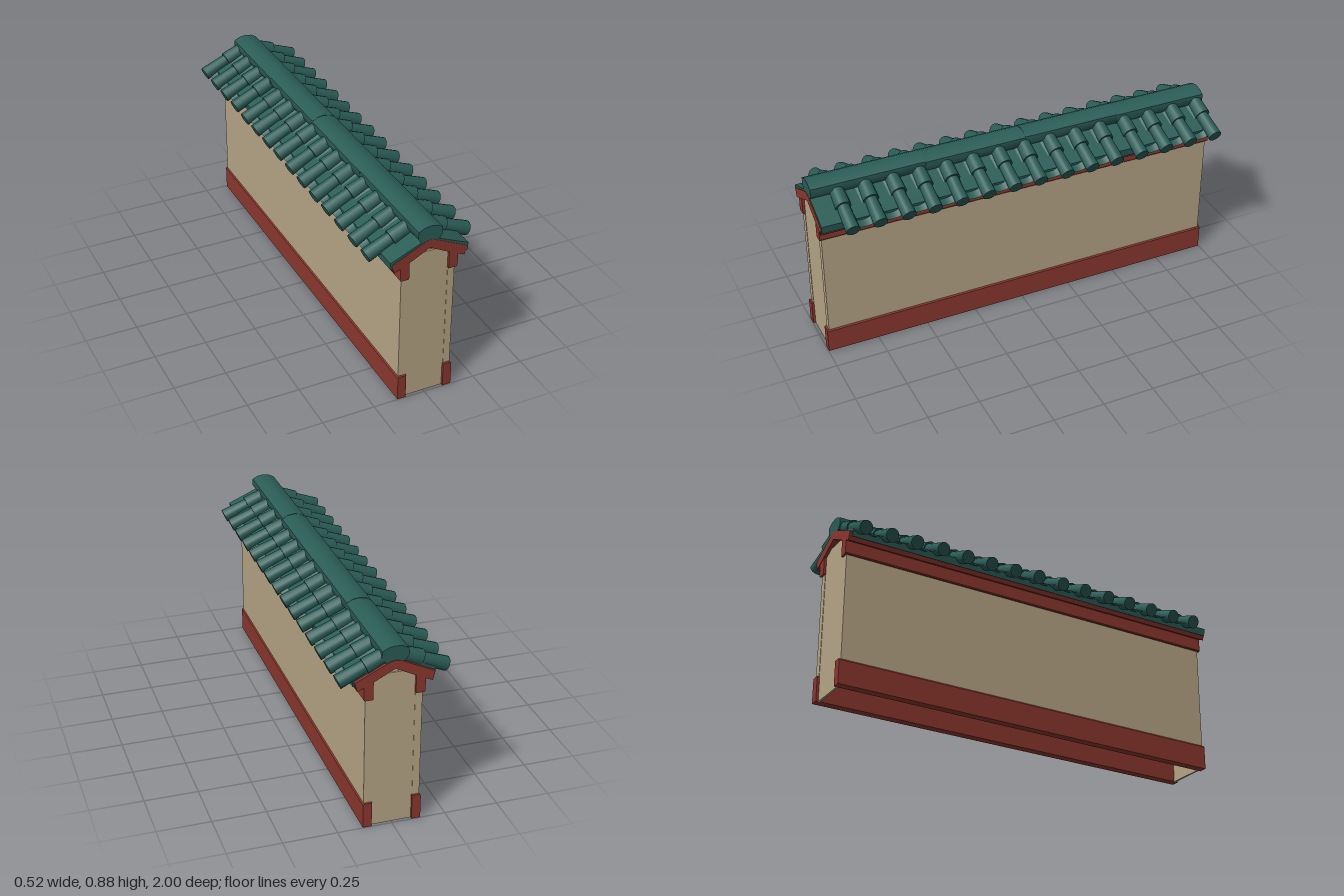
import * as THREE from 'three';
import { toCreasedNormals } from 'three/addons/utils/BufferGeometryUtils.js';

const plaster = new THREE.MeshStandardMaterial({ color: 0xb8a787, side: THREE.DoubleSide });
plaster.name = 'plaster';
const redTrim = new THREE.MeshStandardMaterial({ color: 0x8c382f });
redTrim.name = 'red trim';
const glaze = new THREE.MeshStandardMaterial({ color: 0x2b5d57, side: THREE.DoubleSide });
glaze.name = 'green glaze';

function add(parent, name, geometry, material) {
  const mesh = new THREE.Mesh(geometry, material);
  mesh.name = name;
  parent.add(mesh);
  return mesh;
}

// Cross-section in x/y swept along z
function sweep(points, z0, z1, crease = 0.3) {
  const shape = new THREE.Shape(points.map(([x, y]) => new THREE.Vector2(x, y)));
  const geo = new THREE.ExtrudeGeometry(shape, { depth: z1 - z0, bevelEnabled: false });
  geo.translate(0, 0, z0);
  return toCreasedNormals(geo, crease);
}

// Half profile, listed from the axis outwards and back, mirrored into a closed outline
const mirrored = (half) => [
  ...half,
  ...half.filter(([x]) => x > 0).reverse().map(([x, y]) => [-x, y]),
];
// Closed loop: outer edge to the right, underside back through the middle to the left
const chevron = (outer, under) => [
  ...outer, ...under,
  ...under.filter(([x]) => x > 0).reverse().map(([x, y]) => [-x, y]),
  ...outer.filter(([x]) => x > 0).reverse().map(([x, y]) => [-x, y]),
];

// Seeded jitter for hand-laid tiles
let seed = 7;
function jitter(amount) {
  seed = (seed * 16807) % 2147483647;
  return (seed / 2147483647 - 0.5) * 2 * amount;
}

// Aim a tile geometry (long axis y, outer side +z) down the roof slope
function layTile(parent, name, geometry, side, from, to, z, skew) {
  const a = new THREE.Vector3(side * from[0], from[1], z);
  const b = new THREE.Vector3(side * to[0], to[1], z + skew);
  const yAxis = b.clone().sub(a);
  const length = yAxis.length();
  yAxis.normalize();
  const zAxis = new THREE.Vector3(-side * (to[1] - from[1]), to[0] - from[0], 0).normalize();
  const xAxis = new THREE.Vector3().crossVectors(yAxis, zAxis);
  const tile = add(parent, name, geometry, glaze);
  tile.quaternion.setFromRotationMatrix(new THREE.Matrix4().makeBasis(xAxis, yAxis, zAxis));
  tile.position.copy(a).add(b).multiplyScalar(0.5);
  tile.scale.y = length;
}

export function createModel() {
  const model = new THREE.Group();
  model.name = 'tiledWall';

  // Hollow wall: two long sides with red bands at foot and head
  for (const side of [1, -1]) {
    const wall = add(model, 'wallSide', new THREE.BoxGeometry(0.033, 0.72, 1.976), plaster);
    wall.position.set(side * 0.1125, 0.361, 0);

    const base = [[0.093, 0], [0.134, 0], [0.134, 0.114], [0.129, 0.121], [0.093, 0.121]];
    const band = [[0.095, 0.637], [0.134, 0.637], [0.138, 0.642], [0.138, 0.712], [0.095, 0.732]];
    const flip = (pts) => (side > 0 ? pts : pts.map(([x, y]) => [-x, y]).reverse());
    add(model, 'baseBand', sweep(flip(base), -0.998, 0.998), redTrim);
    add(model, 'topBand', sweep(flip(band), -0.998, 0.998), redTrim);
  }

  // End panels
  const panel = [[0.096, 0], [0.096, 0.722], [0.046, 0.748]];
  add(model, 'frontPanel', sweep(mirrored(panel), 0.976, 0.986), plaster);
  add(model, 'backPanel', sweep(mirrored(panel), -0.986, -0.976), plaster);

  // Red gabled board under the tiles
  const roofBoard = chevron(
    [[0, 0.812], [0.022, 0.808], [0.18, 0.732], [0.168, 0.689]],
    [[0.1, 0.721], [0, 0.772]],
  );
  add(model, 'roofBoard', sweep(roofBoard, -1, 1), redTrim);

  // Glazed bed covering the board
  const bed = chevron(
    [[0, 0.825], [0.187, 0.744], [0.182, 0.706]],
    [[0.17, 0.712], [0, 0.79]],
  );
  add(model, 'tileBed', sweep(bed, -0.986, 0.998), glaze);

  // Ridge: four overlapping capping tiles
  const ridge = mirrored([
    [0, 0.881], [0.03, 0.876], [0.057, 0.862], [0.059, 0.83], [0.042, 0.806], [0, 0.8],
  ]);
  const joints = [-0.998, -0.53, -0.05, 0.45, 0.999];
  for (let i = 0; i < 4; i++) {
    const grow = i % 2 ? 0.0 : 0.002;
    const outline = ridge.map(([x, y]) => [x + Math.sign(x) * grow, y - grow]);
    add(model, 'ridgeTile', sweep(outline, joints[i], joints[i + 1], 0.75), glaze);
  }

  // Rows of barrel tiles with pan tiles between them
  const lowerBarrel = new THREE.CylinderGeometry(0.033, 0.028, 1, 14);
  const upperBarrel = new THREE.CylinderGeometry(0.037, 0.032, 1, 14);
  const pan = new THREE.CylinderGeometry(0.05, 0.047, 1, 10, 1, true, Math.PI / 2, Math.PI);
  pan.scale(1, 1, 0.6);
  const pitch = 0.131;
  for (const side of [1, -1]) {
    const row = new THREE.Group();
    row.name = side > 0 ? 'leftTiles' : 'rightTiles';
    model.add(row);
    for (let i = 0; i < 15; i++) {
      const z = -0.961 + i * pitch;
      const skew = (side > 0 ? -0.003 : 0.012) + jitter(0.004);
      const lift = jitter(0.003);
      layTile(row, 'lowerBarrelTile', lowerBarrel, side,
        [0.1, 0.793 + lift], [0.246, 0.731 + lift], z, skew);
      layTile(row, 'upperBarrelTile', upperBarrel, side,
        [0.025, 0.828 + lift], [0.127, 0.784 + lift], z, skew * 0.5);
      // One gap is left without a pan
      if (i === 14 || i === 3) continue;
      const reach = jitter(0.004);
      layTile(row, 'lowerPanTile', pan, side,
        [0.1, 0.8], [0.231 + reach, 0.743], z + pitch / 2, skew * 0.5);
      layTile(row, 'upperPanTile', pan, side,
        [0.03, 0.84], [0.13, 0.797], z + pitch / 2, skew * 0.5);
    }
  }
  return model;
}
